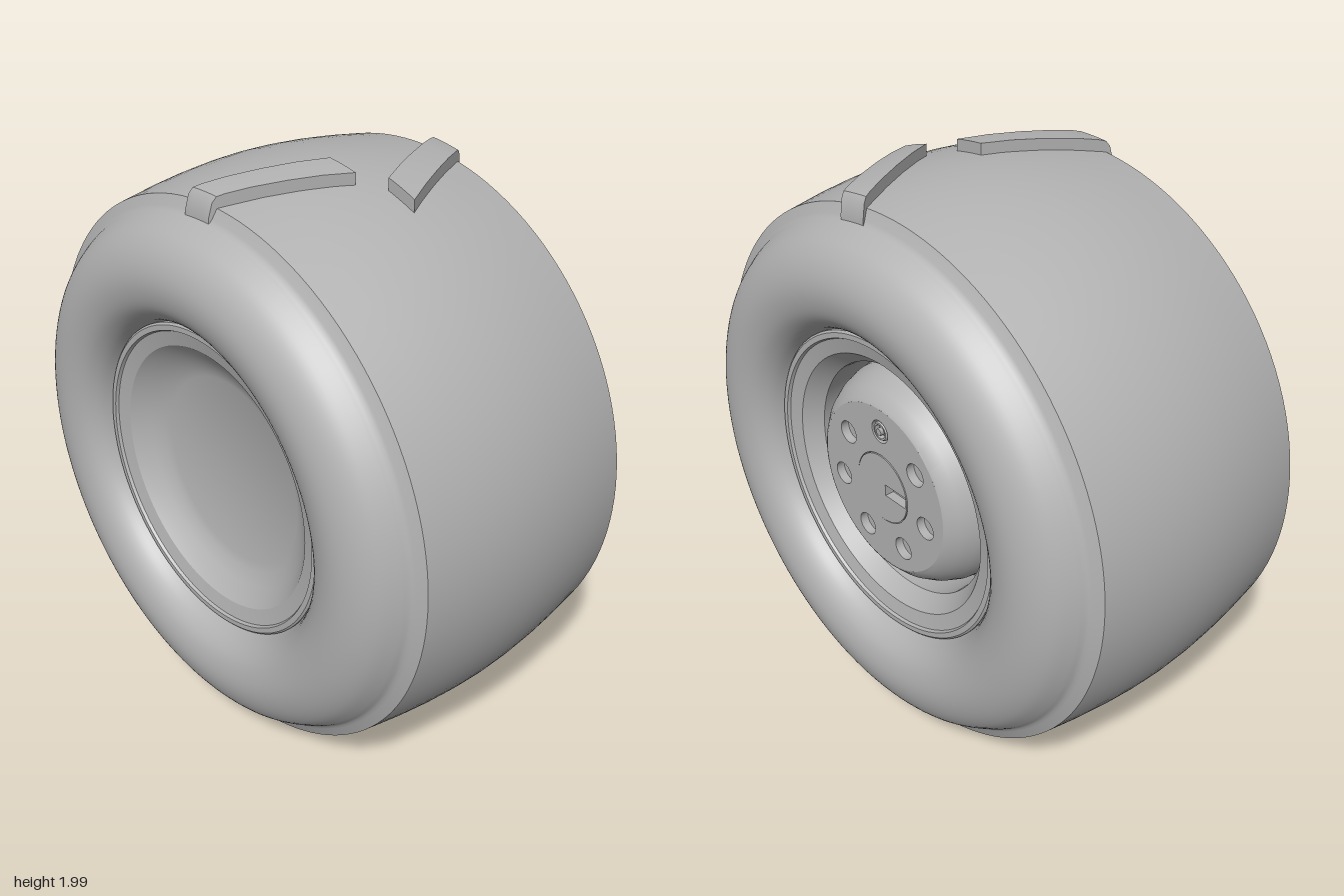
import * as THREE from 'three';
import { toCreasedNormals } from 'three/addons/utils/BufferGeometryUtils.js';

const AXLE_Y = 0.98;
const V = (r, x) => new THREE.Vector2(r, x);

export function createModel() {
  const model = new THREE.Group();
  const wheel = new THREE.Group();
  wheel.name = 'wheel';
  wheel.position.y = AXLE_Y;
  model.add(wheel);

  const grey = new THREE.MeshStandardMaterial({ color: 0xb2b2b2 });
  grey.name = 'plain grey';

  const add = (name, geometry, parent = wheel) => {
    const mesh = new THREE.Mesh(geometry, grey);
    mesh.name = name;
    parent.add(mesh);
    return mesh;
  };

  // Revolve [radius, x] points about the x axis
  const turn = (points, segments = 128, crease = 0.5) => {
    const g = new THREE.LatheGeometry(points, segments);
    g.rotateZ(-Math.PI / 2);
    return toCreasedNormals(g, crease);
  };

  // Extrude a flat shape along +x, starting at the given x
  const plate = (shape, x, depth) => {
    const g = new THREE.ExtrudeGeometry(shape, { depth, bevelEnabled: false, curveSegments: 48 });
    g.rotateY(Math.PI / 2);
    g.translate(x, 0, 0);
    return g;
  };
  const circle = (Kind, x, y, r) => new Kind().absarc(x, y, r, 0, Math.PI * 2, false);

  // Tyre: half profile from crown to bead, mirrored for the other side
  const sidewall = new THREE.SplineCurve([
    V(0.888, 0.455), V(0.875, 0.478), V(0.84, 0.525), V(0.79, 0.56), V(0.73, 0.579),
    V(0.67, 0.579), V(0.61, 0.56), V(0.565, 0.52), V(0.54, 0.47),
  ]).getPoints(32);
  const half = [V(0.98, 0), V(0.977, 0.1), V(0.969, 0.2), V(0.957, 0.3), V(0.937, 0.425),
    V(0.905, 0.44), V(0.895, 0.446), ...sidewall];
  const mirrored = half.slice(1).reverse().map((p) => V(p.x, -p.y));
  add('tyre', turn([...mirrored, ...half]));

  // Rim: matching lips on both sides, deep barrel at the front, shallow dish at the back
  const lip = [V(0.542, 0.455), V(0.542, 0.484), V(0.535, 0.49), V(0.517, 0.49),
    V(0.512, 0.48), V(0.46, 0.468)];
  add('frontRim', turn([...lip, V(0.412, 0.41), V(0.41, 0.27), V(0.38, 0.27)]));
  add('backRim', turn([V(0, -0.385), V(0.33, -0.385), V(0.36, -0.395), V(0.405, -0.418),
    ...lip.map((p) => V(p.x, -p.y)).reverse()]));

  // Hub: rounded drum with a drilled face
  add('hubDrum', turn([V(0.395, 0.26), V(0.395, 0.3), V(0.388, 0.35), V(0.37, 0.4),
    V(0.342, 0.445), V(0.31, 0.475), V(0.3, 0.48), V(0.299, 0.45), V(0, 0.45)]));

  const face = circle(THREE.Shape, 0, 0, 0.3);
  for (let i = 0; i < 7; i++) {
    const a = Math.PI / 2 + (i * Math.PI * 2) / 7;
    face.holes.push(circle(THREE.Path, 0.217 * Math.cos(a), 0.217 * Math.sin(a), 0.04));
  }
  face.holes.push(circle(THREE.Path, 0, 0, 0.127));
  add('hubFace', plate(face, 0.45, 0.03));

  // Centre cap with a slot reaching towards its rim
  const cap = circle(THREE.Shape, 0, 0, 0.124);
  cap.holes.push(new THREE.Path([V(0.016, -0.021), V(0.016, 0.021), V(0.119, 0.021), V(0.119, -0.021)]));
  add('centreCap', plate(cap, 0.45, 0.032));

  // Valve in the top hole
  const valve = new THREE.Group();
  valve.name = 'valve';
  valve.position.set(0.45, 0.217, 0);
  wheel.add(valve);
  add('valveCollar', turn([V(0.034, 0), V(0.034, 0.024), V(0.03, 0.03), V(0.024, 0.03), V(0.02, 0.015),
    V(0, 0.015)], 32), valve);
  const stem = add('valveStem', new THREE.CylinderGeometry(0.013, 0.013, 0.03, 6), valve);
  stem.rotation.z = -Math.PI / 2;
  stem.position.x = 0.02;

  // Tread lugs: slanted bars that follow the crown and fold over the shoulder
  // Each station: distance from centre, outer radius, inner radius
  const stations = [[0.036, 1.017, 0.96], [0.13, 1.013, 0.955], [0.23, 1.004, 0.95],
    [0.33, 0.992, 0.94], [0.4, 0.98, 0.92], [0.425, 0.973, 0.91], [0.438, 0.955, 0.9], [0.45, 0.905, 0.87]];
  const lug = (side, zInner, zOuter, width) => {
    const pos = [], index = [], steps = 4, ring = 2 * (steps + 1);
    for (const [d, outer, inner] of stations) {
      const z0 = zInner + ((zOuter - zInner) * (d - 0.036)) / 0.414;
      for (let k = 0; k < ring; k++) {
        const top = k <= steps;
        const z = z0 + (width * (top ? k : ring - 1 - k)) / steps;
        const r = top ? outer : inner;
        pos.push(side * d, Math.sqrt(r * r - z * z), z);
      }
    }
    const tri = (a, b, c) => index.push(...(side > 0 ? [a, b, c] : [a, c, b]));
    const quad = (a, b, c, d) => { tri(a, b, c); tri(a, c, d); };
    for (let s = 0; s < stations.length - 1; s++) {
      for (let k = 0; k < ring; k++) {
        const n = (k + 1) % ring, a = s * ring;
        quad(a + k, a + n, a + ring + n, a + ring + k);
      }
    }
    const end = (stations.length - 1) * ring;
    for (let k = 0; k < steps; k++) {
      const m = ring - 1 - k;
      quad(k, m, m - 1, k + 1);
      quad(end + k, end + k + 1, end + m - 1, end + m);
    }
    const g = new THREE.BufferGeometry();
    g.setAttribute('position', new THREE.Float32BufferAttribute(pos, 3));
    g.setIndex(index);
    return toCreasedNormals(g, 0.6);
  };
  add('rightTreadLug', lug(-1, 0.09, -0.09, 0.113));
  add('leftTreadLug', lug(1, 0.268, 0.065, 0.11));

  return model;
}
